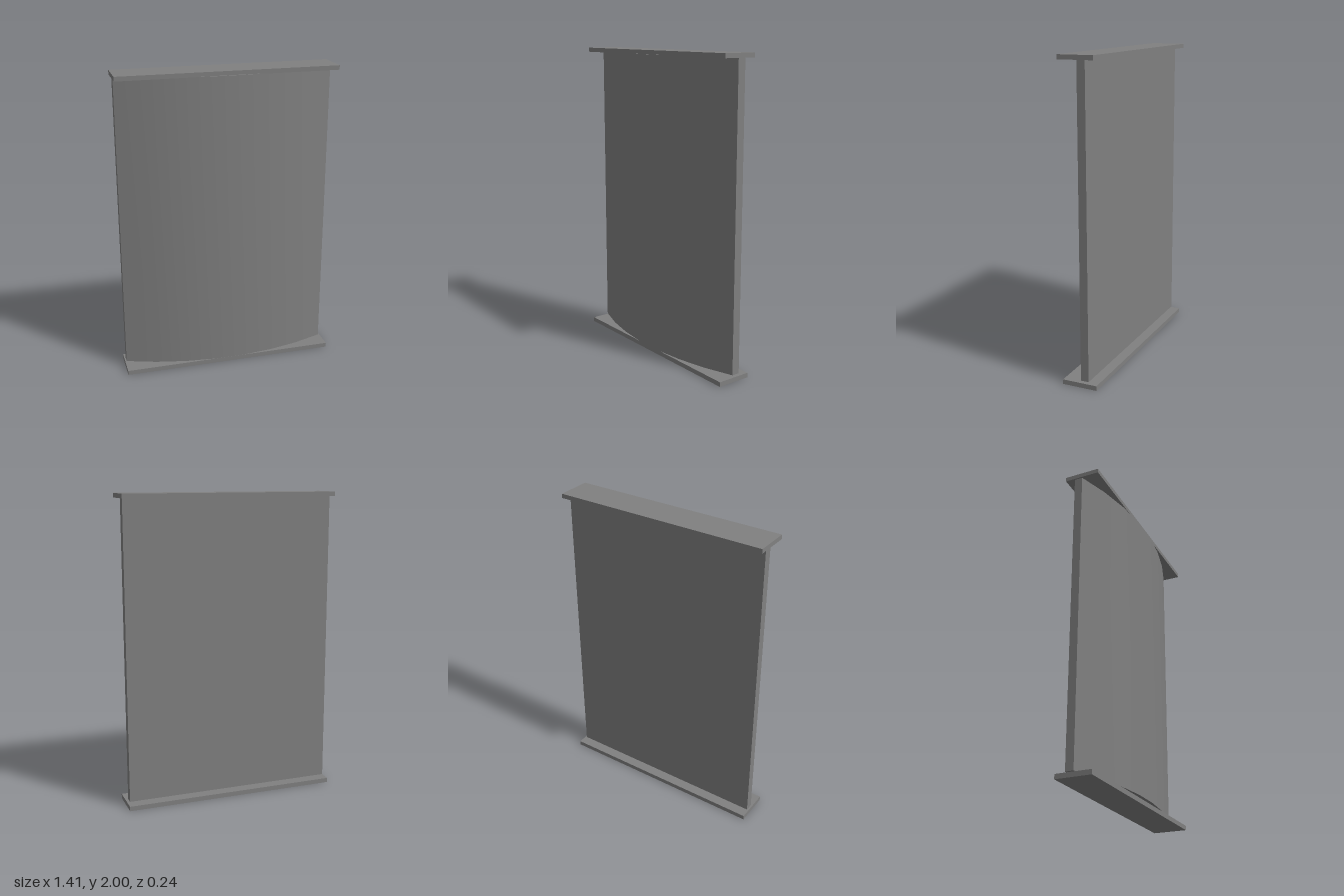
import * as THREE from 'three';
import { toCreasedNormals } from 'three/addons/utils/BufferGeometryUtils.js';

export function createModel() {
  const group = new THREE.Group();
  const material = new THREE.MeshStandardMaterial({ color: 0x808080 });

  function add(name, geometry, x, y, z) {
    const mesh = new THREE.Mesh(geometry, material);
    mesh.name = name;
    mesh.position.set(x, y, z);
    group.add(mesh);
  }

  // Flat end plates
  const plateWidth = 1.413, plateDepth = 0.228, plateZ = -0.006;
  add('bottomPlate', new THREE.BoxGeometry(plateWidth, 0.03, plateDepth), 0, 0.015, plateZ);
  add('topPlate', new THREE.BoxGeometry(plateWidth, 0.028, plateDepth), 0, 1.986, plateZ);

  // Panel section: flat back, shallow arc of seven facets on the front
  const left = -0.698, right = 0.691, back = -0.06, edge = -0.008;
  const segments = 7, radius = 1.91;
  const half = (right - left) / 2, centre = (right + left) / 2;
  const sweep = Math.asin(half / radius);
  const arcZ = edge - radius * Math.cos(sweep);

  const section = new THREE.Shape();
  section.moveTo(left, -back);
  section.lineTo(right, -back);
  for (let i = 0; i <= segments; i++) {
    const a = sweep * (1 - (2 * i) / segments);
    section.lineTo(centre + radius * Math.sin(a), -(arcZ + radius * Math.cos(a)));
  }
  section.closePath();

  // Section is drawn in x and -z, then raised along y
  const panel = new THREE.ExtrudeGeometry(section, { depth: 1.936, bevelEnabled: false });
  panel.rotateX(-Math.PI / 2);
  add('curvedPanel', toCreasedNormals(panel, Math.PI / 6), 0, 0.038, 0);

  return group;
}
